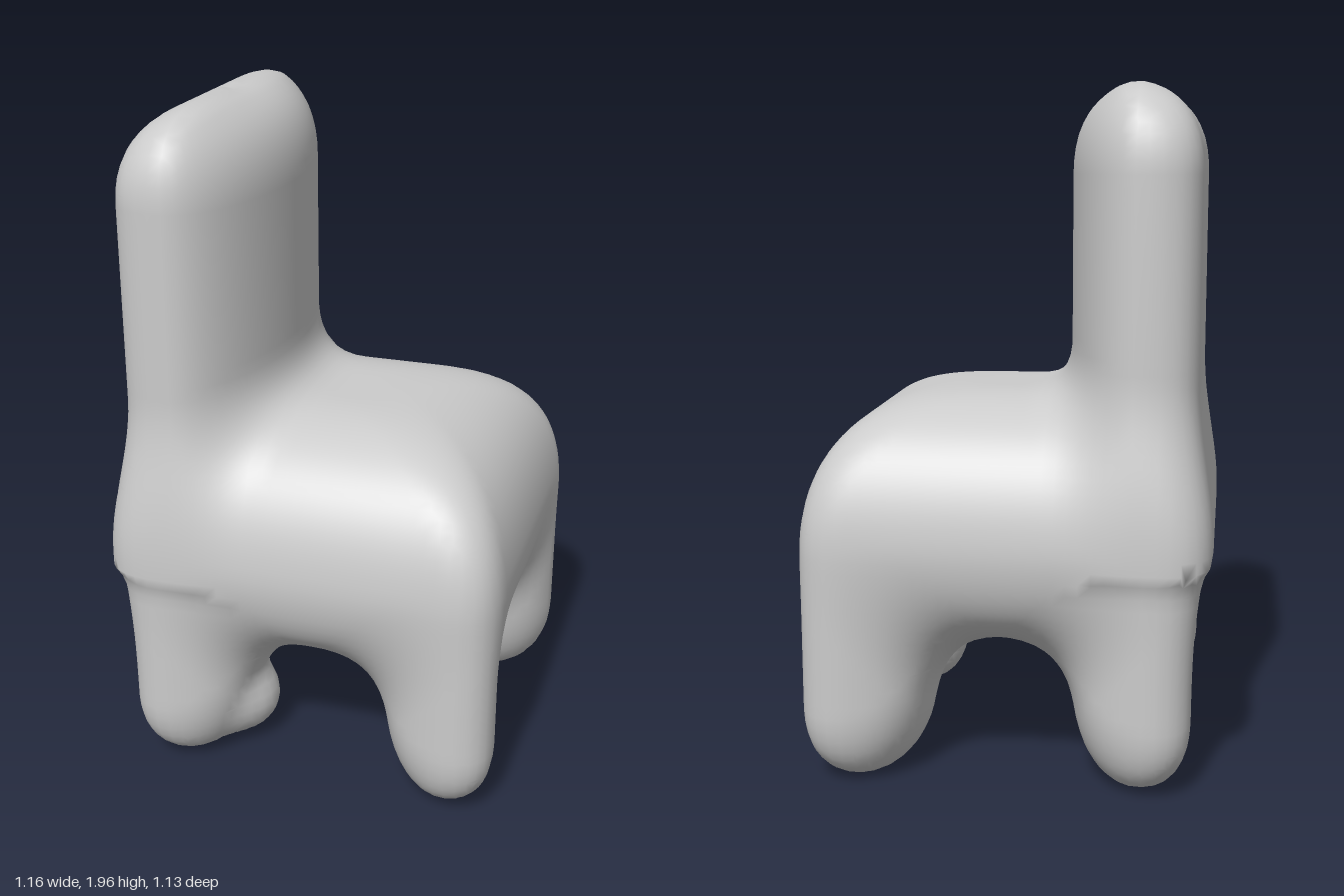
import * as THREE from 'three';

const material = new THREE.MeshStandardMaterial({ color: 0xcccccc });

// Rounded intersection and union of two distance values; k is the size of the rounding
const smax = (a, b, k) => Math.max(a, b) + Math.max(k - Math.abs(a - b), 0) ** 2 / (4 * k);
const smin = (a, b, k) => -smax(-a, -b, k);

// Block for seat and legs: soft square plan, domed top, rounded feet
function block(x, y, z) {
  const front = 0.572, rear = 0.54 + 0.022 * Math.exp(-(((y - 0.75) / 0.22) ** 2));
  const dx = Math.abs(x - (front - rear) / 2) - (front + rear) / 2;
  const dz = Math.abs(z + 0.013) - 0.55;
  const plan = smax(dx, dz, 0.15);
  return smax(smax(plan, y - 1.135, 0.45), -0.02 - y, 0.27);
}

// Arched tunnel under the seat; s runs across the opening
const arch = (s, y) => smax(Math.abs(s) - 0.185, y - 0.43, 0.22);

// Backrest: flat behind, elliptical bow in front, rounded top
function back(x, y, z) {
  const u = Math.max(x + 0.38, 0), v = z + 0.0151;
  const k0 = Math.hypot(u / 0.22, v / 0.5), k1 = Math.hypot(u / 0.22 ** 2, v / 0.5 ** 2);
  const bow = k0 * (k0 - 1) / k1;
  const slab = smax(bow, -0.54 - x, 0.15);
  return Math.max(smax(slab, y - 2.006, 0.26), 0.75 - y);
}

// The whole soft chair as one distance field
function chair(x, y, z) {
  const tunnels = smin(arch(x - 0.01, y), arch(z, y), 0.12);
  let d = smax(block(x, y, z), -tunnels, 0.32);
  // Swollen foot
  d = smin(d, Math.hypot(x + 0.25, y - 0.17, z - 0.26) - 0.09, 0.08);
  return smin(d, back(x, y, z), 0.14);
}

function gradient([x, y, z]) {
  const e = 0.002;
  return [
    (chair(x + e, y, z) - chair(x - e, y, z)) / (2 * e),
    (chair(x, y + e, z) - chair(x, y - e, z)) / (2 * e),
    (chair(x, y, z + e) - chair(x, y, z - e)) / (2 * e),
  ];
}

// Name of the part that a point on the surface belongs to
function partAt(x, y, z) {
  if (y > 1.16) return 'backrest';
  if (y > 0.45) return 'seat';
  return (z > 0 ? 'front' : 'back') + (x > 0 ? 'LeftLeg' : 'RightLeg');
}

export function createModel() {
  const STEP = 0.035, ORIGIN = [-0.7, -0.09, -0.7], SIZE = [41, 62, 41];
  const positions = [], normals = [], cellVertex = new Map(), parts = {};

  const at = (cell, offset) => cell.map((c, i) => ORIGIN[i] + (c + offset) * STEP);
  const inside = (cell) => chair(...at(cell, 0)) < 0;

  // One vertex per surface cell: its centre, pulled onto the surface
  function vertex(cell) {
    const key = cell.join();
    if (!cellVertex.has(key)) {
      let p = at(cell, 0.5);
      for (let n = 0; n < 5; n++) {
        const d = chair(...p), g = gradient(p);
        const len2 = Math.max(g[0] ** 2 + g[1] ** 2 + g[2] ** 2, 0.1);
        p = p.map((v, i) => v - d * g[i] / len2);
      }
      cellVertex.set(key, positions.length / 3);
      positions.push(...p);
      normals.push(...new THREE.Vector3(...gradient(p)).normalize().toArray());
    }
    return cellVertex.get(key);
  }

  // A quad around every grid edge that crosses the surface
  for (let i = 1; i < SIZE[0]; i++) for (let j = 1; j < SIZE[1]; j++) for (let k = 1; k < SIZE[2]; k++) {
    const cell = [i, j, k], start = inside(cell);
    for (let axis = 0; axis < 3; axis++) {
      const shifted = (a, b, c) => {
        const s = [...cell];
        s[axis] += a;
        s[(axis + 1) % 3] += b;
        s[(axis + 2) % 3] += c;
        return s;
      };
      if (start === inside(shifted(1, 0, 0))) continue;
      const quad = [shifted(0, -1, -1), shifted(0, 0, -1), cell, shifted(0, -1, 0)].map(vertex);
      if (!start) quad.reverse();
      const [a, b, c, d] = quad;
      (parts[partAt(...at(cell, 0))] ??= []).push(a, b, c, a, c, d);
    }
  }

  const group = new THREE.Group();
  group.name = 'chair';
  for (const [name, index] of Object.entries(parts)) {
    const shared = new THREE.BufferGeometry();
    shared.setAttribute('position', new THREE.Float32BufferAttribute(positions, 3));
    shared.setAttribute('normal', new THREE.Float32BufferAttribute(normals, 3));
    shared.setIndex(index);
    const mesh = new THREE.Mesh(shared.toNonIndexed(), material);
    mesh.name = name;
    group.add(mesh);
  }
  return group;
}
